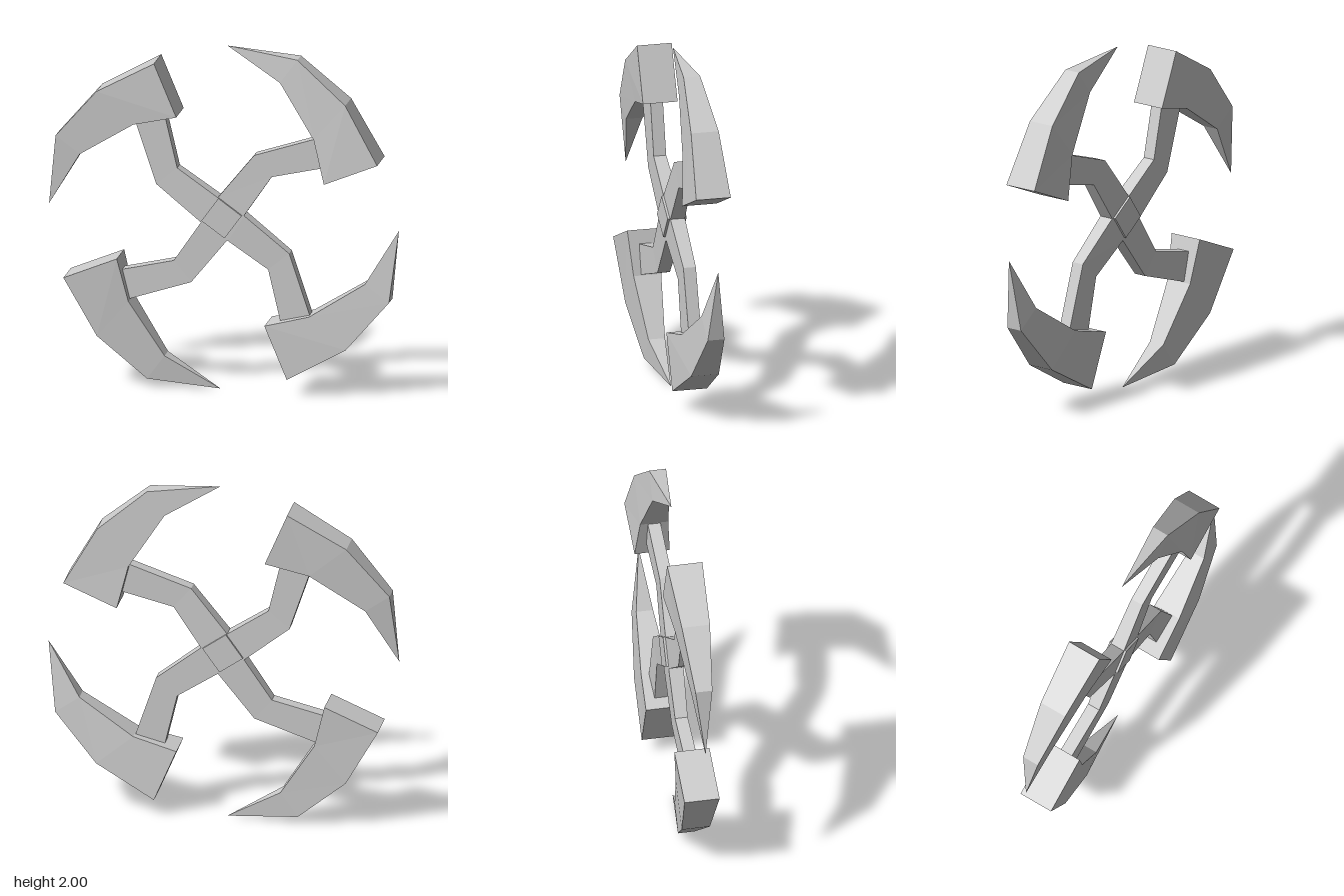
import * as THREE from 'three';

const material = new THREE.MeshStandardMaterial({ color: 0xcccccc, flatShading: true });

// Solid through rectangular sections [rightX, rightY, leftX, leftY, halfDepth];
// a section of zero depth is a sharp point.
function sweep(sections, name) {
  const rings = sections.map(([rx, ry, lx, ly, h]) =>
    [[rx, ry, h], [lx, ly, h], [lx, ly, -h], [rx, ry, -h]]);
  const pos = [];
  const tri = (...pts) => pts.forEach(p => pos.push(...p));
  for (let i = 0; i < rings.length - 1; i++) {
    const isPoint = sections[i + 1][4] === 0;
    for (let k = 0; k < 4; k++) {
      const n = (k + 1) % 4;
      const a = rings[i][k], b = rings[i + 1][k], c = rings[i + 1][n], d = rings[i][n];
      tri(a, b, d);
      if (!isPoint) tri(b, c, d);
    }
  }
  const [s0, s1, s2, s3] = rings[0];
  tri(s0, s1, s2);
  tri(s0, s2, s3);
  const last = sections.length - 1;
  if (sections[last][4] > 0) {
    const [e0, e1, e2, e3] = rings[last];
    tri(e2, e1, e0);
    tri(e3, e2, e0);
  }
  const geometry = new THREE.BufferGeometry();
  geometry.setAttribute('position', new THREE.Float32BufferAttribute(pos, 3));
  geometry.computeVertexNormals();
  const mesh = new THREE.Mesh(geometry, material);
  mesh.name = name;
  return mesh;
}

export function createModel() {
  const model = new THREE.Group();
  model.name = 'fourBladedThrowingStar';

  // Square block where the arms cross
  const hub = new THREE.Mesh(new THREE.BoxGeometry(0.163, 0.167, 0.11), material);
  hub.name = 'hub';
  hub.position.set(-0.003, 1.007, 0);
  hub.rotation.z = -0.62;
  model.add(hub);

  // Bent arm from the hub, its end sunk into the blade
  const armSections = [
    [0.09, -0.02, -0.06, 0.08, 0.042],
    [0.125, 0.03, -0.025, 0.125, 0.042],
    [0.28, 0.26, 0.18, 0.38, 0.036],
    [0.62, 0.34, 0.57, 0.51, 0.036],
  ];
  // Curved blade from its broad butt to the tip
  const bladeSections = [
    [0.897, 0.38, 0.592, 0.252, 0.1],
    [0.71, 0.713, 0.53, 0.502, 0.08],
    [0.43, 0.953, 0.33, 0.815, 0.048],
    [0.02, 1, 0.02, 1, 0],
  ];

  // Four identical limbs, a quarter turn apart
  for (let i = 0; i < 4; i++) {
    const limb = new THREE.Group();
    limb.name = 'limb' + (i + 1);
    limb.position.y = 1;
    limb.rotation.z = i * Math.PI / 2;
    limb.add(sweep(armSections, 'arm'), sweep(bladeSections, 'blade'));
    model.add(limb);
  }
  return model;
}
